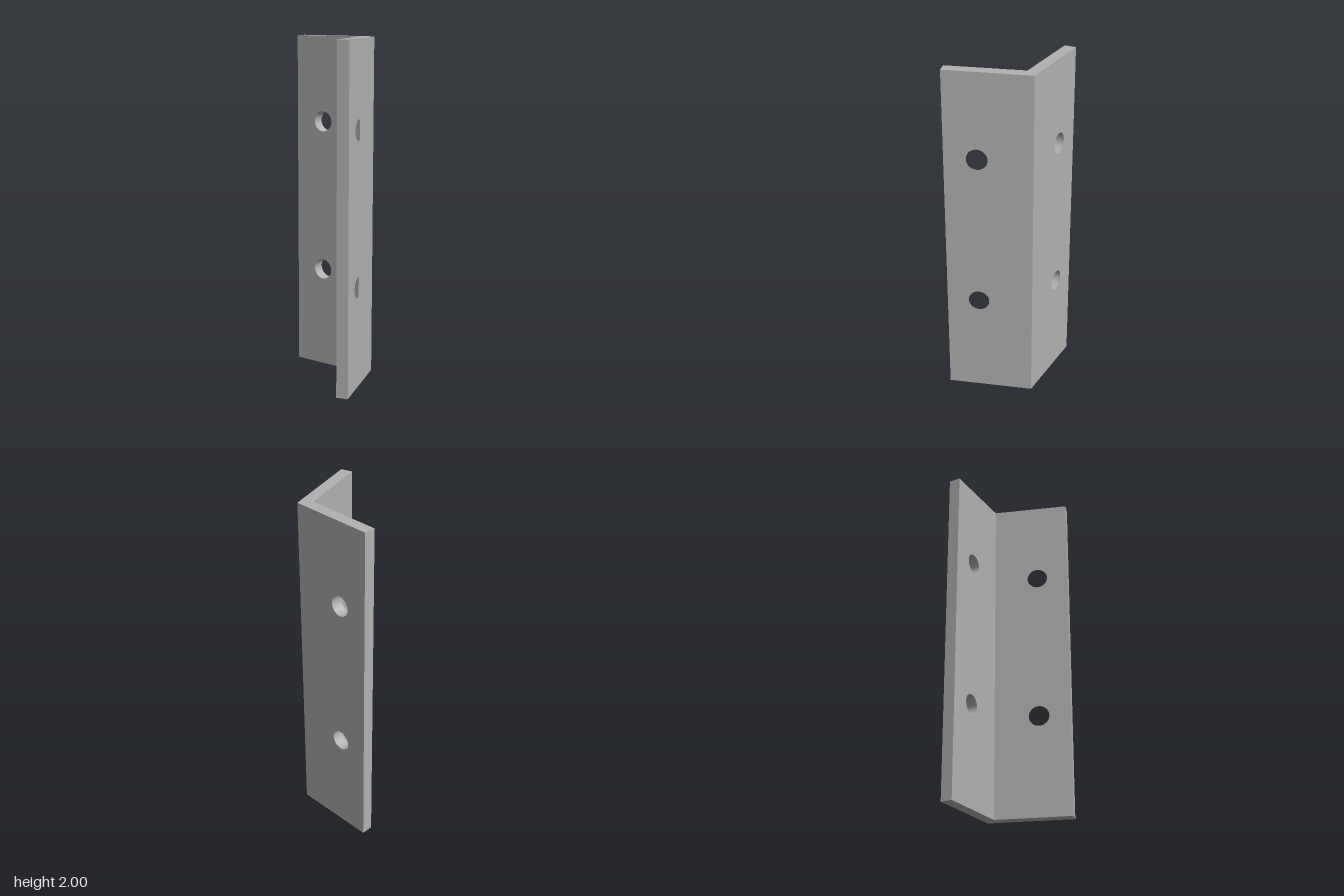
import * as THREE from 'three';

const HEIGHT = 2;
const LENGTH = 0.448;      // inner length of each leg
const THICK = 0.068;
const BEND = THREE.MathUtils.degToRad(108); // angle between the legs
const HOLE_RADIUS = 0.06;
const HOLE_OFFSET = 0.262; // distance from the inner corner
const HOLE_HEIGHTS = [0.6, 1.5];

export function createModel() {
  const group = new THREE.Group();
  group.name = 'angleBracket';

  const steel = new THREE.MeshStandardMaterial({ color: 0xb2b2b2 });
  steel.name = 'grey steel';

  // One drilled leg; side is the direction in local x from the corner to the free end
  function leg(name, side, angle) {
    const end = side * LENGTH;
    const shape = new THREE.Shape([
      new THREE.Vector2(0, 0),
      new THREE.Vector2(end, 0),
      new THREE.Vector2(end, HEIGHT),
      new THREE.Vector2(0, HEIGHT),
    ]);
    for (const y of HOLE_HEIGHTS) {
      const hole = new THREE.Path();
      hole.absarc(side * HOLE_OFFSET, y, HOLE_RADIUS, 0, Math.PI * 2, true);
      shape.holes.push(hole);
    }
    const geometry = new THREE.ExtrudeGeometry(shape, {
      depth: THICK, bevelEnabled: false, curveSegments: 40,
    });

    // Mitre the outer edge at the corner so the two legs meet
    const mitre = THICK / Math.tan(BEND / 2);
    const pos = geometry.attributes.position;
    for (let i = 0; i < pos.count; i++) {
      if (Math.abs(pos.getX(i)) < 1e-4 && pos.getZ(i) > THICK / 2) pos.setX(i, -side * mitre);
    }
    geometry.computeVertexNormals();

    const mesh = new THREE.Mesh(geometry, steel);
    mesh.name = name;
    mesh.position.set(0.179, 0, -0.124); // inner corner
    mesh.rotation.y = angle;
    group.add(mesh);
  }

  leg('sideLeg', -1, Math.PI / 2);
  leg('backLeg', 1, Math.PI / 2 + (Math.PI - BEND));
  return group;
}
